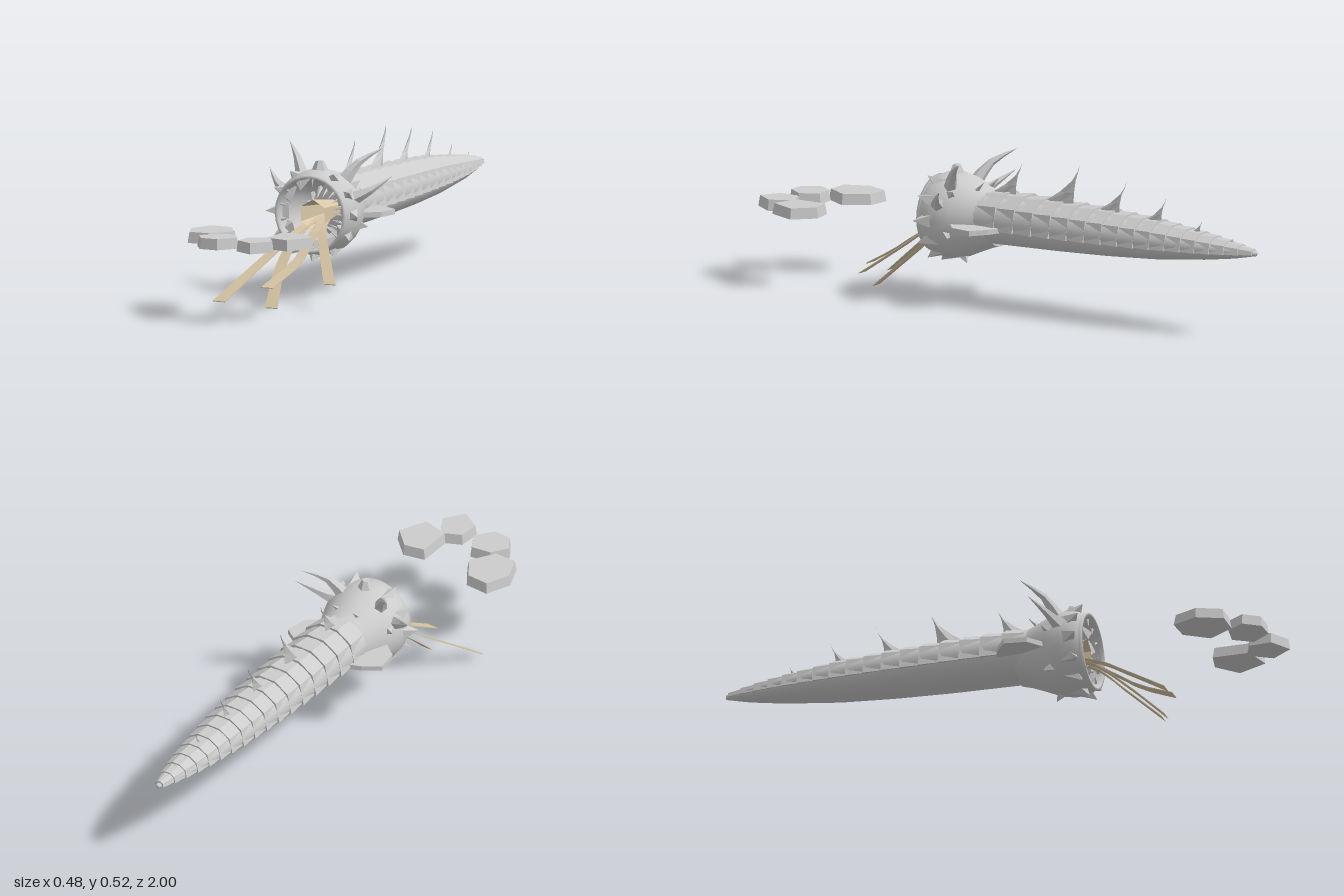
import * as THREE from 'three';

const hide = new THREE.MeshStandardMaterial({ color: 0xcccccc, side: THREE.DoubleSide });
hide.name = 'pale grey hide';
const flesh = new THREE.MeshStandardMaterial({ color: 0xd9c7a7, side: THREE.DoubleSide });
flesh.name = 'tan flesh';

const V = (x, y, z) => new THREE.Vector3(x, y, z);

// Closed solid through equal-length rings of points, faced outwards
function loft(rings, smooth = false) {
  const n = rings[0].length;
  const pts = rings.flat();
  const tris = [];
  for (let i = 0; i < rings.length - 1; i++) {
    for (let j = 0; j < n; j++) {
      const a = i * n + j, b = i * n + (j + 1) % n;
      tris.push([a, b, b + n], [a, b + n, a + n]);
    }
  }
  const last = (rings.length - 1) * n;
  for (let j = 1; j < n - 1; j++) tris.push([0, j + 1, j], [last, last + j, last + j + 1]);
  const mid = pts.reduce((s, p) => s.add(p), V(0, 0, 0)).divideScalar(pts.length);
  const rel = pts.map((p) => p.clone().sub(mid));
  let volume = 0;
  for (const [a, b, c] of tris) volume += rel[a].dot(rel[b].clone().cross(rel[c]));
  if (volume < 0) tris.forEach((t) => t.reverse());
  let g = new THREE.BufferGeometry().setFromPoints(pts);
  g.setIndex(tris.flat());
  if (!smooth) g = g.toNonIndexed();
  g.computeVertexNormals();
  return g;
}

// Curved tapering spike along a path
function hornGeometry(path, radius, sides = 5) {
  const curve = new THREE.CatmullRomCurve3(path);
  const rings = [];
  for (let i = 0; i <= 4; i++) {
    const t = i / 4, c = curve.getPoint(t), d = curve.getTangent(t);
    const u = d.clone().cross(V(0, 0, 1)).normalize(), w = d.clone().cross(u).normalize();
    const r = radius * (1 - t) + 0.0006;
    rings.push(Array.from({ length: sides }, (_, k) => {
      const a = (k / sides) * Math.PI * 2;
      return c.clone().addScaledVector(u, r * Math.cos(a)).addScaledVector(w, r * Math.sin(a));
    }));
  }
  return loft(rings);
}

// Straight pyramid from a base point to a tip
function spikeGeometry(base, tip, radius, sides = 4) {
  const dir = tip.clone().sub(base);
  const g = new THREE.ConeGeometry(radius, dir.length(), sides).toNonIndexed();
  g.computeVertexNormals();
  g.translate(0, dir.length() / 2, 0);
  g.applyQuaternion(new THREE.Quaternion().setFromUnitVectors(V(0, 1, 0), dir.normalize()));
  return g.translate(base.x, base.y, base.z);
}

// Body sections: z, centre height, half width, half height
const sections = [
  [0.14, 0.303, 0.104, 0.092], [-0.2, 0.303, 0.102, 0.085], [-0.4, 0.303, 0.095, 0.078],
  [-0.6, 0.303, 0.083, 0.066], [-0.8, 0.302, 0.059, 0.043], [-0.92, 0.302, 0.034, 0.025],
  [-1, 0.302, 0.008, 0.008],
];
function bodyAt(z) {
  let i = 0;
  while (i < sections.length - 2 && z < sections[i + 1][0]) i++;
  const [p, q] = [sections[i], sections[i + 1]];
  return p.map((v, k) => THREE.MathUtils.lerp(v, q[k], (z - p[0]) / (q[0] - p[0])));
}
function bodyRing(z, angles, swell = 0) {
  const [, cy, rx, ry] = bodyAt(z);
  return angles.map((a) => V((rx + swell) * Math.cos(a), cy + (ry + swell) * Math.sin(a), z));
}

export function createModel() {
  const model = new THREE.Group();
  const add = (name, geometry, material = hide) => {
    const mesh = new THREE.Mesh(geometry, material);
    mesh.name = name;
    model.add(mesh);
    return mesh;
  };
  const HY = 0.293;
  const polar = (a, r, z) => V(r * Math.cos(a), HY + r * Math.sin(a), z);

  // Smooth body under the armour
  const round = Array.from({ length: 24 }, (_, k) => (k / 24) * Math.PI * 2);
  add('body', loft(Array.from({ length: 29 }, (_, i) => bodyRing(0.14 - (i / 28) * 1.14, round)), true));

  // Overlapping back plates, each flaring at its rear edge
  const arc = [-15, 35, 72, 108, 145, 195].map(THREE.MathUtils.degToRad);
  const count = 17;
  const plateZ = (i) => 0.1 - 1.09 * (1.25 * i / count - 0.25 * (i / count) ** 2);
  for (let i = 0; i < count; i++) {
    const z0 = plateZ(i), z1 = plateZ(i + 1), s = 0.011 - 0.005 * (i / count);
    add('backPlate', loft([bodyRing(z0, arc, 0.002), bodyRing(z1, arc, s)]));
  }

  // Swept dorsal fins: front z, rear z, tip z, tip y
  const fins = [
    [0.1, 0.0, -0.025, 0.505], [-0.12, -0.24, -0.265, 0.525], [-0.34, -0.43, -0.46, 0.49],
    [-0.54, -0.605, -0.625, 0.455], [-0.73, -0.765, -0.775, 0.393], [-0.88, -0.9, -0.905, 0.345],
  ];
  for (const [zf, zr, zt, yt] of fins) {
    const [, cy, , ry] = bodyAt((zf + zr) / 2), y0 = cy + ry - 0.005, len = zf - zr;
    add('dorsalFin', loft([0, 0.3, 0.6, 0.85, 1].map((t) => {
      const front = THREE.MathUtils.lerp(zf, zt, 1 - (1 - t) ** 1.7);
      const rear = Math.min(THREE.MathUtils.lerp(zr, zt, t ** 2), front - 0.0005);
      const y = THREE.MathUtils.lerp(y0, yt, t), w = 0.13 * len * (1 - t) + 0.0004;
      const m = (front + rear) / 2;
      return [V(0, y, front), V(w, y, m), V(0, y, rear), V(-w, y, m)];
    })));
  }

  // Head shell and hollow mouth
  const lathe = (profile) => new THREE.LatheGeometry(profile.map(([r, z]) => new THREE.Vector2(r, z)), 28)
    .rotateX(Math.PI / 2).translate(0, HY, 0);
  add('headShell', lathe([[0.09, 0.06], [0.098, 0.09], [0.118, 0.14], [0.14, 0.19], [0.15, 0.24], [0.147, 0.285], [0.135, 0.31]]));
  add('mouthRim', lathe([[0.135, 0.31], [0.135, 0.322], [0.125, 0.322], [0.124, 0.305]]));
  add('mouthLining', lathe([[0.124, 0.305], [0.12, 0.26], [0.1, 0.19], [0.07, 0.14], [0.001, 0.11]]));

  // Broad spikes round the rim
  for (let i = 0; i < 12; i++) {
    const a = (i / 12) * Math.PI * 2;
    if (i === 3) continue;
    const r = i % 6 === 0 ? 0.177 : 0.167;
    add('rimSpike', spikeGeometry(polar(a, 0.12, 0.26), polar(a, r, 0.31), 0.04));
    if (i % 2) add('cheekSpike', spikeGeometry(polar(a + 0.2, 0.12, 0.21), polar(a + 0.2, 0.162, 0.18), 0.03));
  }

  // Teeth at the rim and in the throat
  for (let i = 0; i < 14; i++) {
    const a = ((i + 0.5) / 14) * Math.PI * 2;
    add('rimTooth', spikeGeometry(polar(a, 0.126, 0.3), polar(a, 0.092, 0.305), 0.006));
    add('throatTooth', spikeGeometry(polar(a, 0.08, 0.17), polar(a, 0.045, 0.23), 0.009));
  }

  // Crest knob
  const knob = new THREE.CylinderGeometry(0.014, 0.028, 0.03, 6).toNonIndexed();
  knob.computeVertexNormals();
  add('crestKnob', knob.translate(0, 0.455, 0.245));

  for (const s of [1, -1]) {
    // Curved head horns
    add('upperHorn', hornGeometry([V(s * 0.075, 0.395, 0.22), V(s * 0.118, 0.465, 0.18), V(s * 0.18, 0.51, 0.115)], 0.026));
    add('lowerHorn', hornGeometry([V(s * 0.12, 0.345, 0.24), V(s * 0.178, 0.375, 0.21), V(s * 0.235, 0.42, 0.16)], 0.026));
    add('napeSpike', spikeGeometry(V(s * 0.04, 0.38, 0.15), V(s * 0.045, 0.43, 0.1), 0.012));
    // Flat side fins behind the head
    const outline = [[0.09, 0], [0.14, 0.02], [0.197, 0.06], [0.185, 0.14], [0.11, 0.2]];
    add('sideFin', loft([0.272, 0.29].map((y) => outline.map(([x, z]) => V(s * x, y, z)))));
  }

  // Hollow tongue root
  const root = new THREE.CylinderGeometry(0.052, 0.03, 0.16, 6, 1, true).toNonIndexed();
  root.computeVertexNormals();
  add('tongueRoot', root.rotateX(Math.PI / 2).rotateZ(Math.PI).translate(0, 0.29, 0.22), flesh);

  // Ribbon tongues
  const tongues = [
    [[-0.015, 0.27, 0.2], [-0.04, 0.235, 0.34], [-0.11, 0.14, 0.48], [-0.188, 0.022, 0.645]],
    [[-0.015, 0.27, 0.2], [-0.042, 0.225, 0.33], [-0.047, 0.12, 0.46], [-0.015, 0.003, 0.59]],
    [[0.015, 0.29, 0.2], [0.028, 0.245, 0.33], [0.028, 0.15, 0.48], [-0.018, 0.077, 0.62]],
    [[0.015, 0.28, 0.2], [0.045, 0.245, 0.32], [0.1, 0.175, 0.41], [0.174, 0.088, 0.52]],
  ];
  tongues.forEach((path) => {
    const curve = new THREE.CatmullRomCurve3(path.map((p) => V(...p)));
    add('tongue', loft(curve.getPoints(8).map((p, i) => {
      const w = 0.014 + 0.009 * (i / 8), h = 0.0015;
      return [V(p.x - w, p.y - h, p.z), V(p.x + w, p.y - h, p.z), V(p.x + w, p.y + h, p.z), V(p.x - w, p.y + h, p.z)];
    })), flesh);
  });

  // Stone slabs in front, slightly wider at the base
  const slabs = [
    [[-0.235, 0.765], [-0.2, 0.682], [-0.12, 0.687], [-0.068, 0.765], [-0.12, 0.85], [-0.2, 0.85]],
    [[-0.138, 0.902], [-0.102, 0.845], [-0.03, 0.835], [0.006, 0.897], [-0.04, 0.96], [-0.102, 0.957]],
    [[0.095, 0.728], [0.167, 0.713], [0.233, 0.776], [0.188, 0.875], [0.095, 0.85]],
    [[0.04, 0.877], [0.108, 0.845], [0.154, 0.922], [0.104, 0.992], [0.036, 0.95]],
  ];
  for (const outline of slabs) {
    const cx = outline.reduce((s, p) => s + p[0], 0) / outline.length;
    const cz = outline.reduce((s, p) => s + p[1], 0) / outline.length;
    add('stoneSlab', loft([[0.253, 1.08], [0.291, 1]].map(([y, k]) =>
      outline.map(([x, z]) => V(cx + (x - cx) * k, y, cz + (z - cz) * k)))));
  }
  return model;
}
